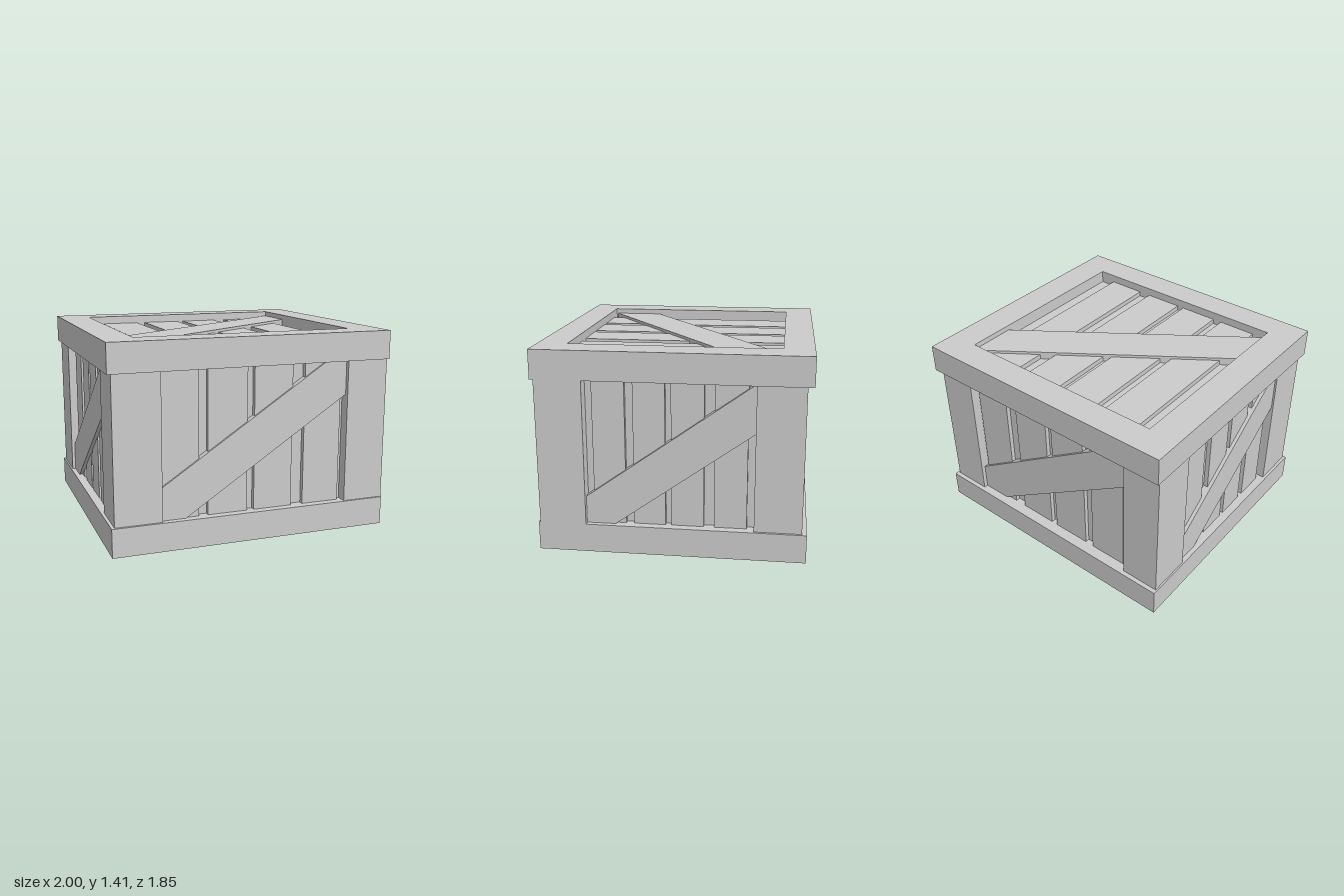
import * as THREE from 'three';

const material = new THREE.MeshStandardMaterial({ color: 0xcccccc, flatShading: true });

function add(parent, name, geometry) {
  const mesh = new THREE.Mesh(geometry, material);
  mesh.name = name;
  parent.add(mesh);
}

// Box given by its minimum and maximum corners
function box(parent, name, [x0, y0, z0], [x1, y1, z1]) {
  const geometry = new THREE.BoxGeometry(x1 - x0, y1 - y0, z1 - z0);
  geometry.translate((x0 + x1) / 2, (y0 + y1) / 2, (z0 + z1) / 2);
  add(parent, name, geometry);
}

const outline = (points) => points.map(([x, y]) => new THREE.Vector2(x, y));
const rectangle = (w, d) => outline([[-w, -d], [w, -d], [w, d], [-w, d]]);

// Rectangular rim with an open middle
function frame(parent, name, halfX, halfZ, bottom, height) {
  const shape = new THREE.Shape(rectangle(halfX, halfZ));
  shape.holes.push(new THREE.Path(rectangle(0.778, 0.718)));
  const geometry = new THREE.ExtrudeGeometry(shape, { depth: height, bevelEnabled: false });
  geometry.rotateX(-Math.PI / 2);
  geometry.translate(0, bottom, 0);
  add(parent, name, geometry);
}

// Row of planks with a diagonal brace; local z points out of the crate
function panel(parent, name, p) {
  const group = new THREE.Group();
  group.name = name;
  for (const [a, b] of p.planks) {
    const [u0, u1] = [a * p.flip, b * p.flip].sort((m, n) => m - n);
    box(group, 'plank', [u0, p.low, p.core - 0.02], [u1, p.high, p.plank]);
  }
  const brace = new THREE.ExtrudeGeometry(new THREE.Shape(outline(p.brace)), {
    depth: p.braceFace - p.core, bevelEnabled: false,
  });
  brace.translate(0, 0, p.core);
  add(group, 'diagonalBrace', brace);
  group.rotation.set(p.rx || 0, p.ry || 0, 0);
  parent.add(group);
}

export function createModel() {
  const crate = new THREE.Group();
  crate.name = 'crate';

  // Rims and inner body
  frame(crate, 'topFrame', 1, 0.923, 1.207, 0.2);
  frame(crate, 'bottomFrame', 0.992, 0.912, 0, 0.2);
  box(crate, 'innerBody', [-0.9, 0.045, -0.8], [0.9, 1.315, 0.82]);

  // Corner posts, slightly uneven
  const posts = [
    ['frontLeftPost', 0.695, 0.995, 0.58, 0.9],
    ['frontRightPost', -0.97, -0.645, 0.58, 0.895],
    ['backLeftPost', 0.69, 0.975, -0.88, -0.56],
    ['backRightPost', -0.98, -0.7, -0.88, -0.56],
  ];
  for (const [name, x0, x1, z0, z1] of posts) box(crate, name, [x0, 0.19, z0], [x1, 1.22, z1]);

  const planksX = [[-0.66, -0.38], [-0.315, -0.033], [0.017, 0.297], [0.387, 0.663]];
  const planksZ = [[0.53, 0.31], [0.255, 0.04], [0, -0.22], [-0.29, -0.51]];

  // Front and back walls
  const wide = {
    planks: planksX, low: 0.19, high: 1.22,
    brace: [[-0.72, 0.376], [0.55, 1.21], [0.72, 1.21], [0.72, 0.983], [-0.475, 0.2], [-0.72, 0.2]],
  };
  panel(crate, 'frontWall', { ...wide, flip: 1, core: 0.82, plank: 0.855, braceFace: 0.87 });
  panel(crate, 'backWall', {
    ...wide, flip: -1, core: 0.8, plank: 0.832, braceFace: 0.85, ry: Math.PI,
  });

  // Side walls
  const narrow = {
    planks: planksZ, low: 0.19, high: 1.22, core: 0.9, plank: 0.932, braceFace: 0.957,
    brace: [[-0.6, 0.376], [0.56, 1.21], [0.6, 1.21], [0.6, 0.904], [-0.38, 0.2], [-0.6, 0.2]],
  };
  panel(crate, 'leftWall', { ...narrow, flip: -1, ry: Math.PI / 2 });
  panel(crate, 'rightWall', { ...narrow, flip: 1, ry: -Math.PI / 2 });

  // Lid and floor share one brace outline, mirrored for the underside
  const lidBrace = [[-0.78, -0.35], [0.76, 0.72], [0.78, 0.72], [0.78, 0.38], [-0.78, -0.71]];
  const flat = { planks: planksX, flip: 1, low: -0.72, high: 0.72 };
  panel(crate, 'lid', {
    ...flat, core: 1.315, plank: 1.35, braceFace: 1.37, brace: lidBrace, rx: -Math.PI / 2,
  });
  panel(crate, 'floor', {
    ...flat, core: -0.045, plank: -0.037, braceFace: -0.03, rx: Math.PI / 2,
    brace: lidBrace.map(([x, y]) => [x, -y]),
  });

  return crate;
}
